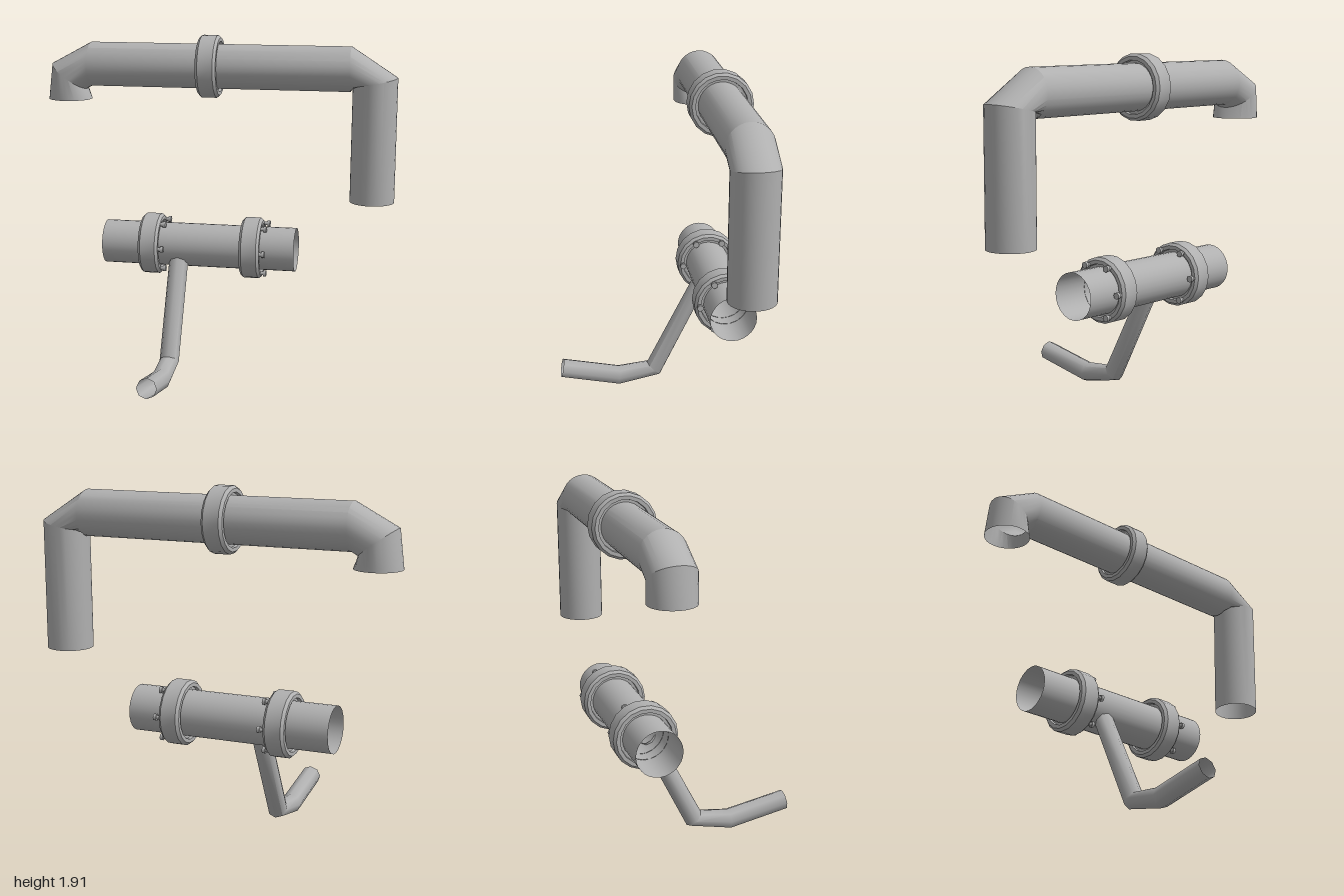
import * as THREE from 'three';
import { toCreasedNormals } from 'three/addons/utils/BufferGeometryUtils.js';

const metal = new THREE.MeshStandardMaterial({ color: 0xb0b0b0, side: THREE.DoubleSide });
metal.name = 'grey metal';

const PIPE_R = 0.125, PIPE_Z = -0.355, TOP_Y = 1.742, LOW_Y = 0.7;

function addMesh(parent, name, geometry) {
  const mesh = new THREE.Mesh(geometry, metal);
  mesh.name = name;
  parent.add(mesh);
  return mesh;
}

// Open mitred pipe in the xy plane; each section is [outer x, outer y, inner x, inner y]
function mitredPipe(sections, radius, sides, crease) {
  const pos = [], index = [];
  for (const [ox, oy, ix, iy] of sections) {
    for (let i = 0; i < sides; i++) {
      const a = (i / sides) * Math.PI * 2, c = Math.cos(a) / 2;
      pos.push((ox + ix) / 2 + (ox - ix) * c, (oy + iy) / 2 + (oy - iy) * c, radius * Math.sin(a));
    }
  }
  for (let s = 0; s < sections.length - 1; s++) {
    for (let i = 0; i < sides; i++) {
      const a = s * sides + i, b = s * sides + (i + 1) % sides;
      index.push(a, a + sides, b, b, a + sides, b + sides);
    }
  }
  const g = new THREE.BufferGeometry();
  g.setAttribute('position', new THREE.Float32BufferAttribute(pos, 3));
  g.setIndex(index);
  // sections run left to right with the outer side up, so turn faces outward
  const flipped = g.getIndex().array;
  for (let i = 0; i < flipped.length; i += 3) [flipped[i + 1], flipped[i + 2]] = [flipped[i + 2], flipped[i + 1]];
  return toCreasedNormals(g, crease);
}

// Bevelled collar around a pipe, with a shallow recess next to the pipe
function collar(parent, name, x, y) {
  const profile = [
    [0.124, -0.04], [0.14, -0.04], [0.142, -0.058], [0.162, -0.058], [0.176, -0.043],
    [0.176, 0.043], [0.162, 0.058], [0.142, 0.058], [0.14, 0.04], [0.124, 0.04],
  ].map(([r, h]) => new THREE.Vector2(r, h));
  const g = toCreasedNormals(new THREE.LatheGeometry(profile, 18), 0.5);
  g.rotateZ(-Math.PI / 2);
  addMesh(parent, name, g).position.set(x, y, PIPE_Z);
}

// Ring of six bolts on the +x face of a collar
function bolts(parent, x, y) {
  const ring = new THREE.Group();
  ring.name = 'boltRing';
  ring.position.set(x, y, PIPE_Z);
  for (let i = 0; i < 6; i++) {
    const a = (i * Math.PI) / 3;
    for (const [name, r, from, to] of [['boltStem', 0.011, 0.05, 0.078], ['boltHead', 0.018, 0.074, 0.09]]) {
      const g = new THREE.CylinderGeometry(r, r, to - from, 8).rotateZ(-Math.PI / 2);
      addMesh(ring, name, g).position.set((from + to) / 2, 0.15 * Math.sin(a), 0.15 * Math.cos(a));
    }
  }
  parent.add(ring);
}

export function createModel() {
  const model = new THREE.Group();
  model.name = 'pipework';

  // Upper pipe with an elbow at each end
  const upper = mitredPipe([
    [-1, 1.54, -0.75, 1.54],
    [-0.975, 1.745, -0.775, 1.6],
    [-0.745, 1.868, -0.745, 1.617],
    [0.74, 1.868, 0.74, 1.617],
    [0.998, 1.7, 0.75, 1.65],
    [0.998, 1, 0.748, 1],
  ], PIPE_R, 28, 0.4);
  addMesh(model, 'upperPipe', upper).position.z = PIPE_Z;
  collar(model, 'upperCollar', -0.053, TOP_Y);

  // Lower straight pipe, open at both ends
  const lower = new THREE.CylinderGeometry(PIPE_R, PIPE_R, 1.12, 28, 1, true).rotateZ(-Math.PI / 2);
  addMesh(model, 'lowerPipe', lower).position.set(-0.11, LOW_Y, PIPE_Z);
  for (const x of [-0.39, 0.198]) {
    collar(model, 'lowerCollar', x, LOW_Y);
    bolts(model, x, LOW_Y);
  }

  // Thin bent branch, drawn in the zy plane and turned to face forward
  const branch = mitredPipe([
    [-0.53, 0.075, -0.51, 0.185],
    [-0.19, 0.005, -0.185, 0.12],
    [0.06, 0.06, -0.02, 0.135],
    [0.318, 0.585, 0.242, 0.648],
  ].map(([ox, oy, ix, iy]) => [ix, iy, ox, oy]), 0.056, 8, 0.9);
  branch.rotateY(Math.PI / 2);
  addMesh(model, 'branchPipe', branch).position.x = -0.225;

  return model;
}
